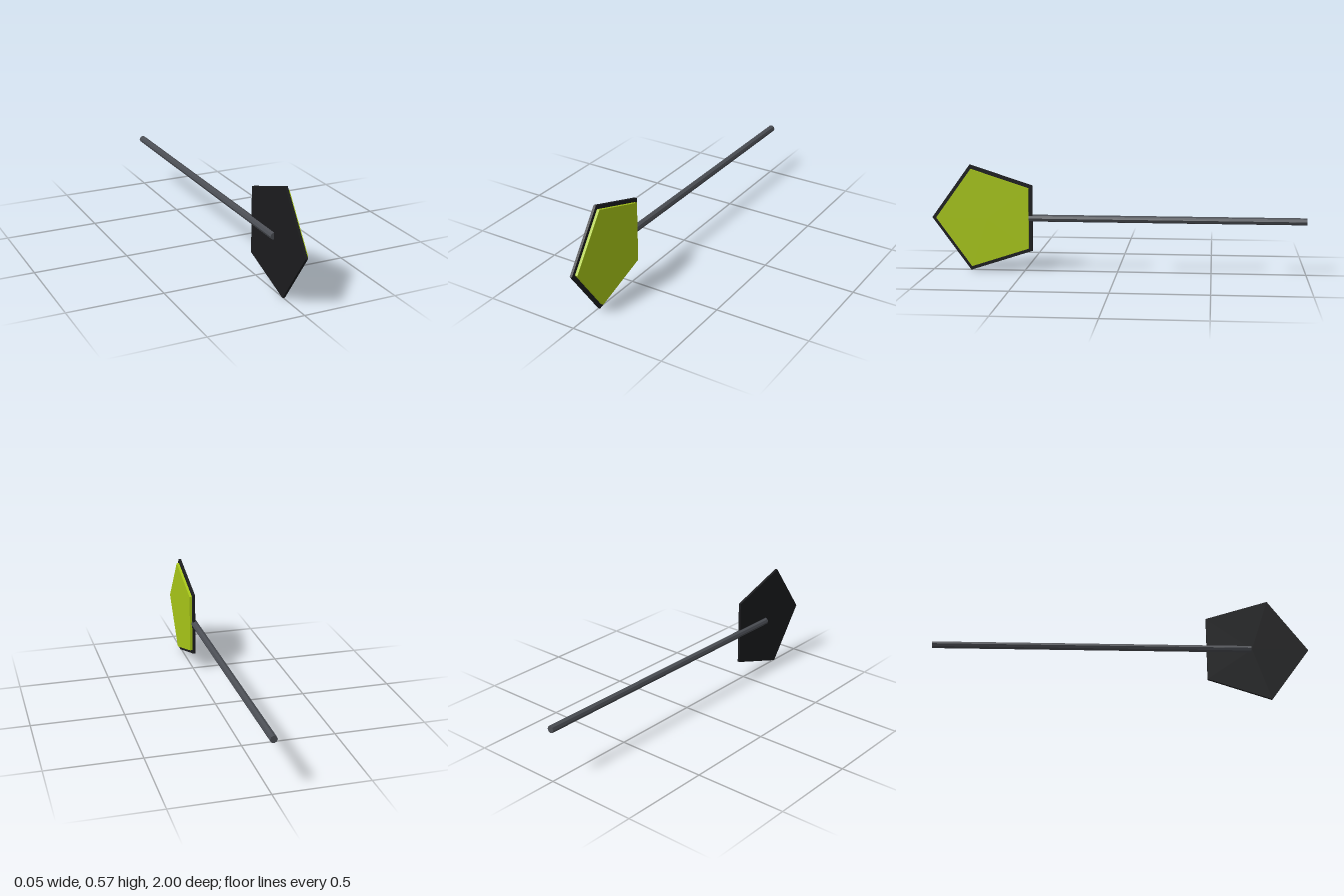
import * as THREE from 'three';

const CENTRE_Y = 0.286;
const HEAD_Z = 0.7;

function addPart(group, name, geometry, color, x, z) {
  const material = new THREE.MeshStandardMaterial({ color, flatShading: true });
  const mesh = new THREE.Mesh(geometry, material);
  mesh.name = name;
  mesh.position.set(x, CENTRE_Y, z);
  group.add(mesh);
}

// Five-sided plate lying across x, with its point towards +z
function pentagon(radius, thickness) {
  return new THREE.CylinderGeometry(radius, radius, thickness, 5).rotateZ(-Math.PI / 2);
}

export function createModel() {
  const group = new THREE.Group();
  group.name = 'pentagonPaddle';

  // Dark backing plate, leaving a thin rim around the panel
  addPart(group, 'backPlate', pentagon(0.3007, 0.0135), 0x1b1c1e, 0.002, HEAD_Z);

  // Raised green panel on the left face
  addPart(group, 'greenPanel', pentagon(0.277, 0.0145), 0xa9c818, 0.0155, HEAD_Z);

  // Eight-sided pole from the middle of the plate to the rear
  const length = 1.695;
  const pole = new THREE.CylinderGeometry(0.019, 0.019, length, 8).rotateX(Math.PI / 2);
  addPart(group, 'pole', pole, 0x4b4e54, -0.0043, -1 + length / 2);

  return group;
}
